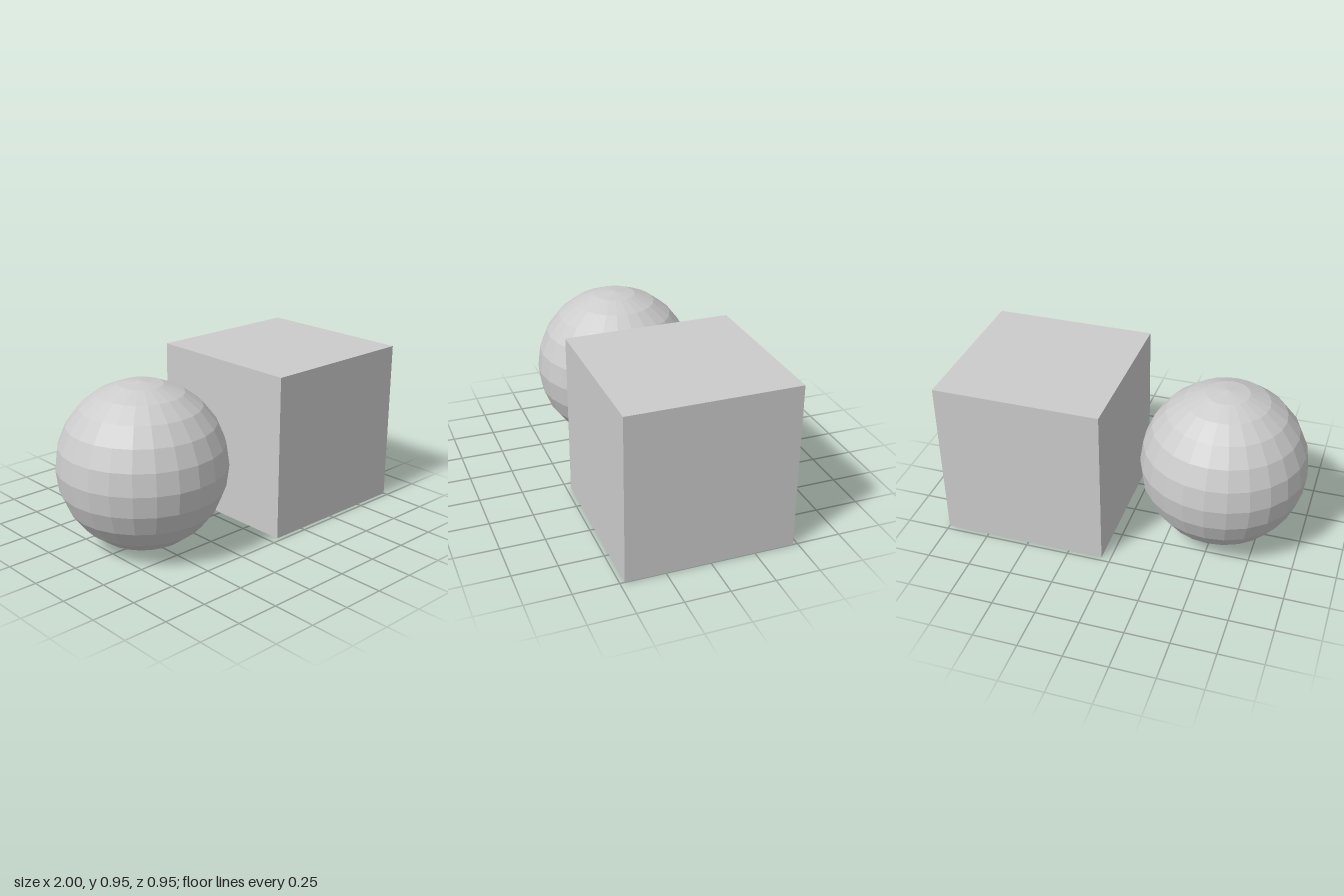
import * as THREE from 'three';

export function createModel() {
  const group = new THREE.Group();
  const material = new THREE.MeshStandardMaterial({ color: 0xcccccc, flatShading: true });
  const radius = 9 / 19;  // half the height of both solids
  const offset = 10 / 19; // distance of each centre from the middle

  const add = (name, geometry, x) => {
    const mesh = new THREE.Mesh(geometry, material);
    mesh.name = name;
    mesh.position.set(x, radius, 0);
    group.add(mesh);
  };

  // Faceted ball on the model's right, cube of equal height on its left
  add('sphere', new THREE.SphereGeometry(radius, 24, 12), -offset);
  add('cube', new THREE.BoxGeometry(2 * radius, 2 * radius, 2 * radius), offset);

  return group;
}
